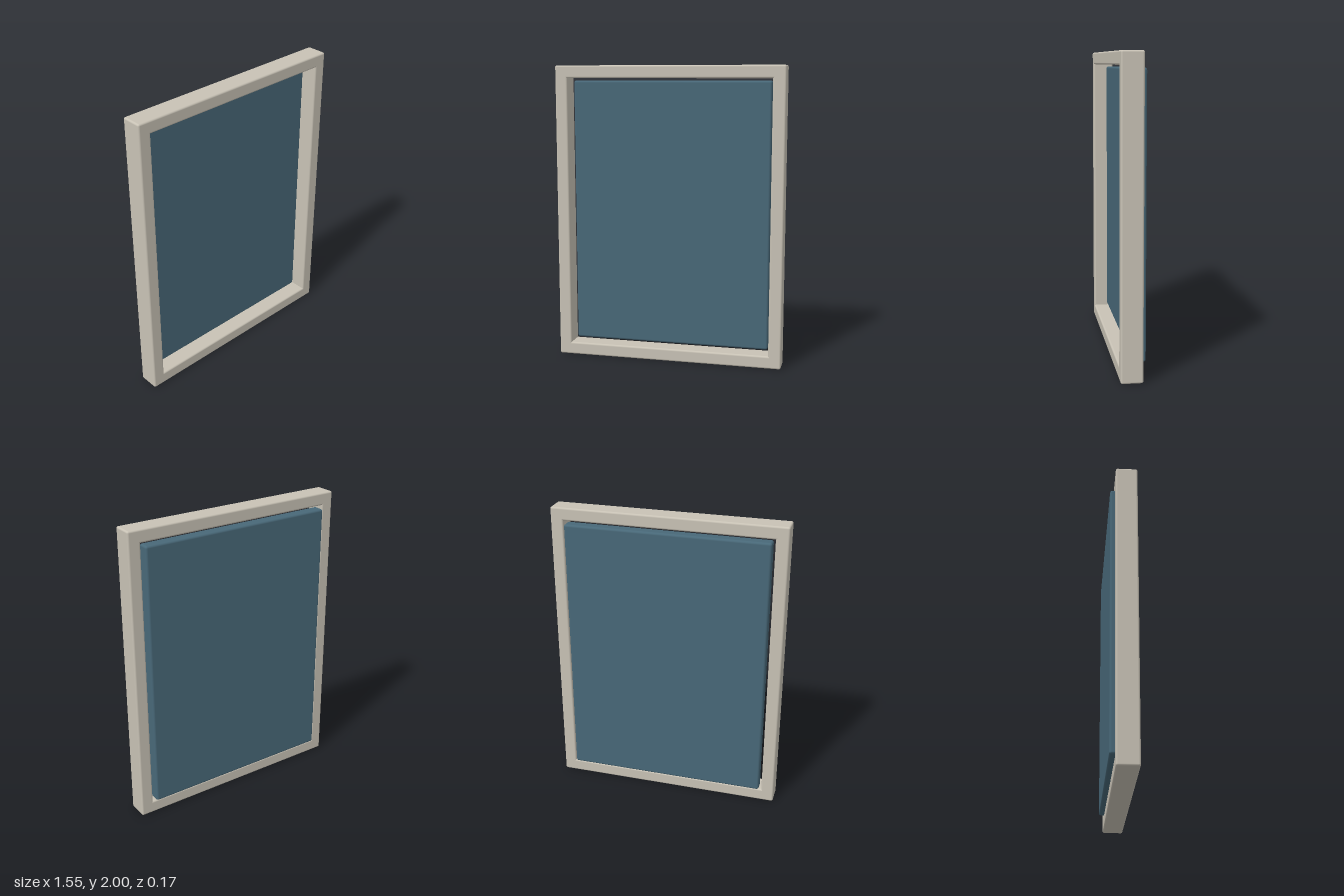
import * as THREE from 'three';
import { RoundedBoxGeometry } from 'three/addons/geometries/RoundedBoxGeometry.js';

const WIDTH = 1.55, HEIGHT = 2, DEPTH = 0.14, BAR = 0.085;

export function createModel() {
  const model = new THREE.Group();
  model.name = 'framedPanel';

  const frameMaterial = new THREE.MeshStandardMaterial({ color: 0xc8c2b5 });
  frameMaterial.name = 'warm grey frame';
  const panelMaterial = new THREE.MeshStandardMaterial({ color: 0x486878 });
  panelMaterial.name = 'slate blue panel';

  const addBox = (parent, name, size, position, radius, material) => {
    const mesh = new THREE.Mesh(new RoundedBoxGeometry(...size, 4, radius), material);
    mesh.name = name;
    mesh.position.set(...position);
    parent.add(mesh);
  };

  // Frame: four softly rounded bars meeting flush at the corners
  const frame = new THREE.Group();
  frame.name = 'frame';
  frame.position.z = 0.015;
  model.add(frame);
  for (const [side, sign] of [['left', 1], ['right', -1]]) {
    addBox(frame, side + 'Stile', [BAR, HEIGHT, DEPTH],
      [sign * (WIDTH - BAR) / 2, HEIGHT / 2, 0], 0.012, frameMaterial);
  }
  for (const [end, sign] of [['top', 1], ['bottom', -1]]) {
    addBox(frame, end + 'Rail', [WIDTH, BAR, DEPTH],
      [0, HEIGHT / 2 + sign * (HEIGHT - BAR) / 2, 0], 0.012, frameMaterial);
  }

  // Panel: floats inside the frame with a narrow gap and stands proud at the back
  addBox(model, 'panel', [1.35, 1.8, 0.08], [0, 1, -0.046], 0.015, panelMaterial);

  return model;
}
